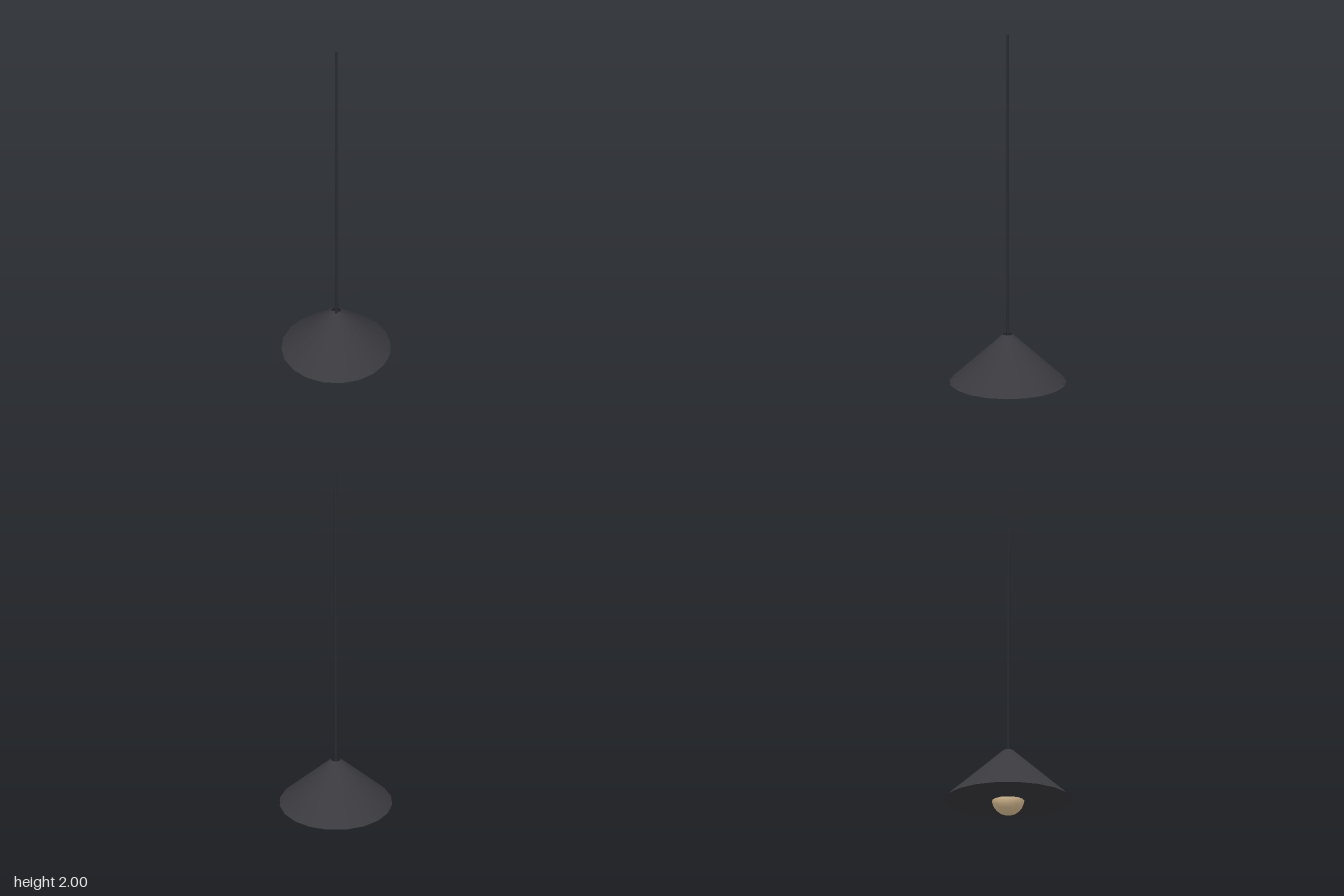
import * as THREE from 'three';

const SIDES = 20;
const RIM_Y = 0.075;

export function createModel() {
  const group = new THREE.Group();
  const dark = new THREE.MeshStandardMaterial({ color: 0x3a393e, side: THREE.DoubleSide });
  const darkFlat = new THREE.MeshStandardMaterial({ color: 0x3a393e, side: THREE.DoubleSide, flatShading: true });
  const cordMaterial = new THREE.MeshStandardMaterial({ color: 0x2c2b33 });
  const tan = new THREE.MeshStandardMaterial({ color: 0xe6c99c });

  const add = (name, geometry, material, y = 0) => {
    const mesh = new THREE.Mesh(geometry, material);
    mesh.name = name;
    mesh.position.y = y;
    group.add(mesh);
    return mesh;
  };
  const lathe = (points) =>
    new THREE.LatheGeometry(points.map(([r, y]) => new THREE.Vector2(r, y)), SIDES);

  // Conical shade, open at the top around the cord
  add('shade', lathe([[0.314, 0.09], [0.028, 0.346]]), dark);

  // Narrow faceted band around the lower edge
  add('shadeRim', lathe([[0.33, RIM_Y], [0.314, 0.09]]), darkFlat);

  // Flat underside that the bulb pokes through
  const underside = new THREE.CircleGeometry(0.33, SIDES);
  underside.rotateX(Math.PI / 2);
  add('shadeUnderside', underside, dark, RIM_Y);

  // Round bulb, half hidden inside the shade
  add('bulb', new THREE.SphereGeometry(0.085, 16, 12), tan, 0.085);

  // Long hanging cord
  const cordBottom = 0.16;
  add('cord', new THREE.CylinderGeometry(0.007, 0.007, 2 - cordBottom, 6), cordMaterial, (2 + cordBottom) / 2);

  return group;
}
